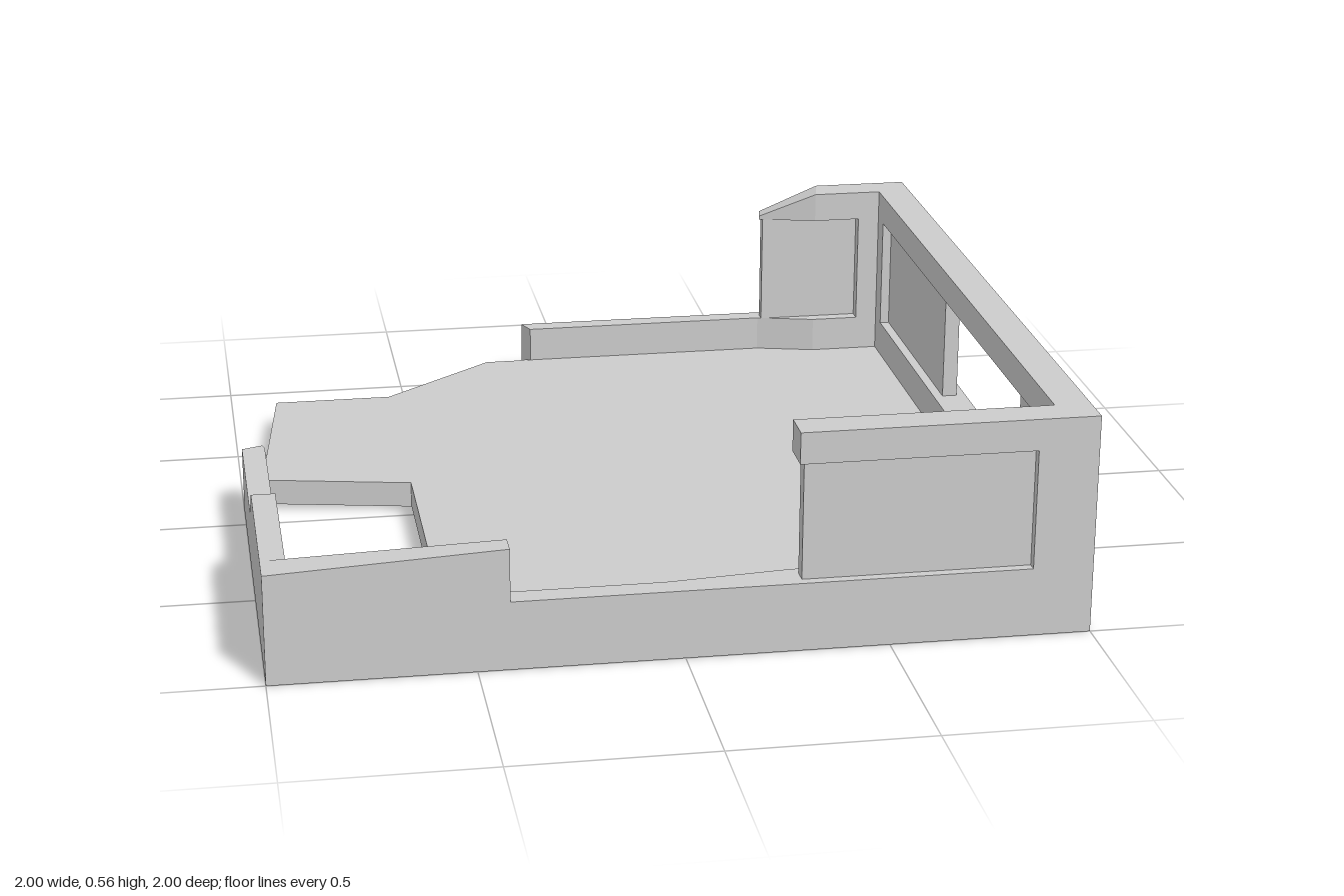
import * as THREE from 'three';
import { ConvexGeometry } from 'three/addons/geometries/ConvexGeometry.js';

const SILL = 0.175, LINTEL = 0.48, TOP = 0.56, FLOOR = 0.08;

export function createModel() {
  const group = new THREE.Group();
  const mat = new THREE.MeshStandardMaterial({ color: 0xcccccc, flatShading: true, side: THREE.DoubleSide });

  const add = (name, geo) => {
    const mesh = new THREE.Mesh(geo, mat);
    mesh.name = name;
    group.add(mesh);
    return mesh;
  };
  // box given by its extents
  const box = (name, x0, x1, y0, y1, z0, z1) => {
    const geo = new THREE.BoxGeometry(x1 - x0, y1 - y0, z1 - z0);
    geo.translate((x0 + x1) / 2, (y0 + y1) / 2, (z0 + z1) / 2);
    return add(name, geo);
  };
  const shapeOf = (pts) => new THREE.Shape(pts.map(([a, b]) => new THREE.Vector2(a, b)));
  // plan outline in x, z raised from y0 to y1
  const slab = (name, pts, y0, y1) => {
    const geo = new THREE.ExtrudeGeometry(shapeOf(pts.map(([x, z]) => [x, -z])), { depth: y1 - y0, bevelEnabled: false });
    geo.rotateX(-Math.PI / 2).translate(0, y0, 0);
    return add(name, geo);
  };
  // side outline in z, y with thickness along x
  const sideWall = (name, shape, x0, x1) => {
    const geo = new THREE.ExtrudeGeometry(shape, { depth: x1 - x0, bevelEnabled: false });
    geo.rotateY(-Math.PI / 2).translate(x1, 0, 0);
    return add(name, geo);
  };
  const hull = (name, pts) => add(name, new ConvexGeometry(pts.map((p) => new THREE.Vector3(...p))));

  // Broken floor slab
  slab('floor', [
    [-0.88, -0.70], [-0.56, -0.70], [-0.25, -0.95], [0.56, -0.95], [0.72, -0.91], [0.91, -0.91],
    [0.91, 0.91], [0.27, 0.91], [-0.04, 0.94], [-0.56, 0.94], [-0.56, -0.03], [-0.95, -0.11],
  ], 0.012, FLOOR);

  // Left wall: full length, one long window with shutter panels at both ends
  const left = shapeOf([[-1, 0], [1, 0], [1, TOP], [-1, TOP]]);
  left.holes.push(new THREE.Path([[-0.85, SILL], [-0.85, LINTEL], [0.85, LINTEL], [0.85, SILL]]
    .map(([z, y]) => new THREE.Vector2(z, y))));
  sideWall('leftWall', left, 0.91, 1);
  box('leftFrontPanel', 0.935, 0.975, SILL, LINTEL, 0.54, 0.85);
  box('leftBackPanel', 0.935, 0.975, SILL, LINTEL, -0.85, -0.21);

  // Front wall: sill, window post, lintel and panel
  slab('frontSill', [[-0.42, 1], [0.91, 1], [0.91, 0.91], [0.27, 0.91], [-0.04, 0.94], [-0.42, 0.94]], 0, SILL);
  box('frontPost', 0.85, 0.91, SILL, LINTEL, 0.91, 1);
  box('frontLintel', 0.27, 0.91, LINTEL, TOP, 0.91, 1);
  box('frontPanel', 0.285, 0.85, SILL, LINTEL, 0.935, 0.975);

  // Front wall: low broken end with a sloped inner face
  hull('frontLowWall', [
    [-1, 0, 1], [-1, 0.28, 1], [-0.42, 0, 1], [-0.42, 0.31, 1],
    [-1, 0, 0.85], [-1, 0.28, 0.91], [-0.94, 0, 0.85], [-0.94, 0.28, 0.91],
    [-0.42, 0, 0.94], [-0.42, 0.31, 0.94],
  ]);

  // Right wall: broken down to sill height
  sideWall('rightWall', shapeOf([[-0.1, 0], [0.91, 0], [0.91, 0.28], [0.49, 0.28], [0.35, SILL], [-0.1, SILL]]), -1, -0.94);
  slab('rightWallBrokenEnd', [[-1, -0.1], [-0.94, -0.1], [-0.945, -0.12]], 0, SILL);

  // Back wall: sill with a ragged end, post, broken lintel and panel
  slab('backSill', [[-0.14, -1], [0.91, -1], [0.91, -0.91], [0.72, -0.91], [0.56, -0.95], [-0.12, -0.95]], 0, SILL);
  slab('backFloorLip', [[-0.13, -0.955], [-0.2, -0.945], [-0.12, -0.94]], 0, FLOOR);
  box('backPost', 0.85, 0.91, SILL, LINTEL, -1, -0.91);
  hull('backLintel', [
    [0.91, LINTEL, -1], [0.91, LINTEL, -0.91], [0.91, TOP, -1], [0.91, TOP, -0.91],
    [0.74, TOP, -1], [0.72, TOP, -0.91], [0.72, LINTEL, -0.91],
    [0.57, LINTEL, -1], [0.56, LINTEL, -0.95], [0.57, LINTEL + 0.01, -1], [0.56, LINTEL + 0.01, -0.95],
  ]);
  box('backPanel', 0.57, 0.85, SILL, LINTEL, -0.975, -0.945);

  return group;
}
